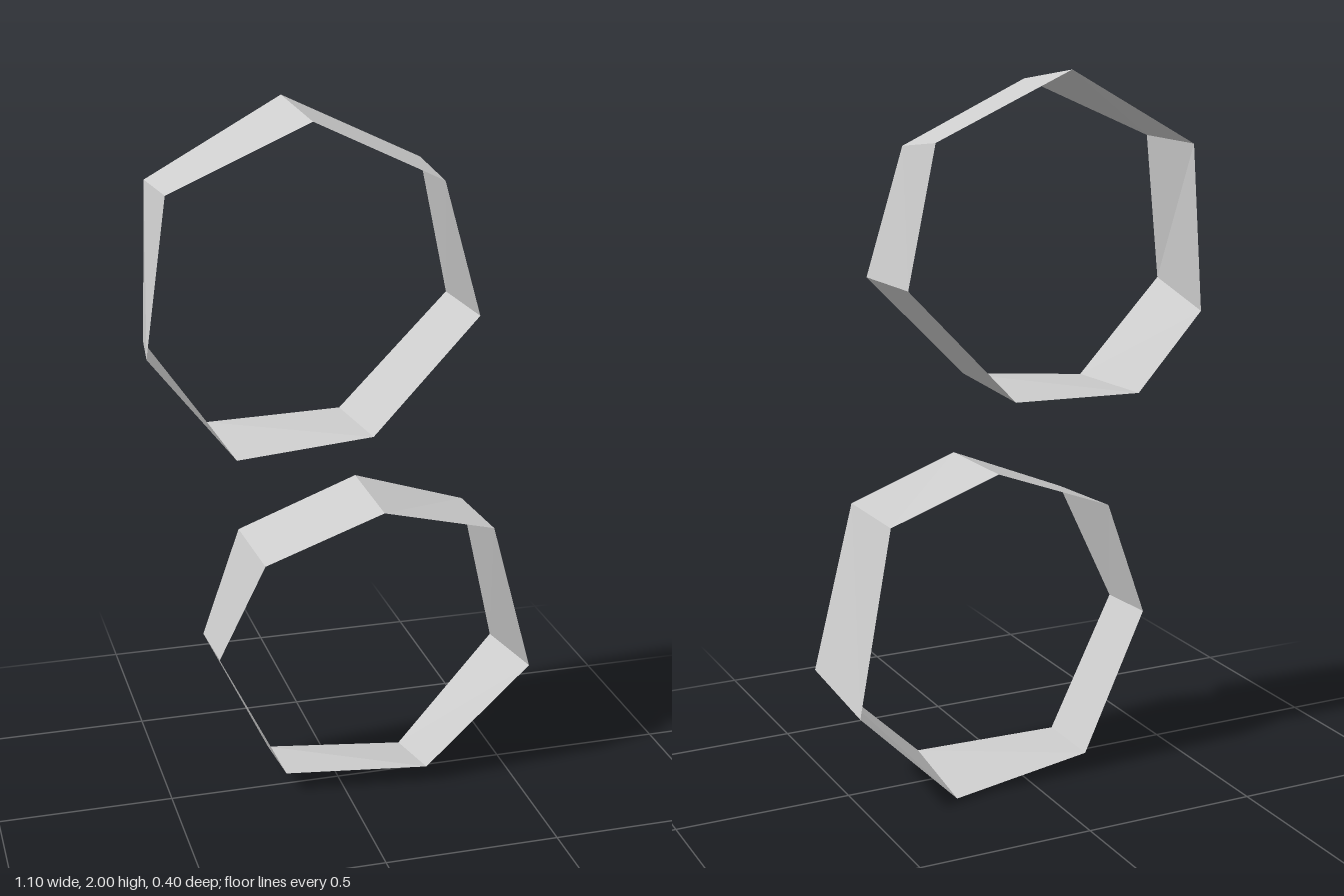
import * as THREE from 'three';

// Corners run clockwise from the top: [x, y, z] on the front rim, then the back rim.
const UPPER = [
  [[-0.09, 1.965, 0.085], [-0.12, 2.0, -0.14]],
  [[0.267, 1.795, 0.103], [0.262, 1.82, -0.106]],
  [[0.352, 1.435, 0.165], [0.342, 1.435, -0.1]],
  [[0.045, 1.13, 0.2], [0.038, 1.11, -0.125]],
  [[-0.33, 1.095, 0.192], [-0.345, 1.1, -0.127]],
  [[-0.553, 1.375, 0.135], [-0.507, 1.33, -0.185]],
  [[-0.484, 1.795, 0.091], [-0.497, 1.79, -0.145]],
];
const LOWER = [
  [[0.08, 0.903, 0.193], [0.08, 0.908, -0.105]],
  [[0.417, 0.805, 0.145], [0.408, 0.8, -0.116]],
  [[0.55, 0.345, 0.11], [0.54, 0.307, -0.202]],
  [[0.243, 0.05, 0.1], [0.235, 0.0, -0.154]],
  [[-0.17, 0.063, 0.055], [-0.18, 0.053, -0.137]],
  [[-0.36, 0.45, 0.053], [-0.37, 0.453, -0.128]],
  [[-0.25, 0.77, 0.165], [-0.265, 0.778, -0.104]],
];

// Closed band of flat panels joining the front rim to the back rim
function band(name, corners, material) {
  const positions = [];
  corners.forEach(([front, back], i) => {
    const [nextFront, nextBack] = corners[(i + 1) % corners.length];
    positions.push(...front, ...nextFront, ...nextBack);
    positions.push(...front, ...nextBack, ...back);
  });
  const geometry = new THREE.BufferGeometry();
  geometry.setAttribute('position', new THREE.Float32BufferAttribute(positions, 3));
  geometry.computeVertexNormals();
  const mesh = new THREE.Mesh(geometry, material);
  mesh.name = name;
  return mesh;
}

export function createModel() {
  const group = new THREE.Group();
  group.name = 'twoRings';
  const grey = new THREE.MeshStandardMaterial({ color: 0xcccccc, side: THREE.DoubleSide, flatShading: true });
  grey.name = 'light grey';
  group.add(band('upperRing', UPPER, grey), band('lowerRing', LOWER, grey));
  return group;
}
